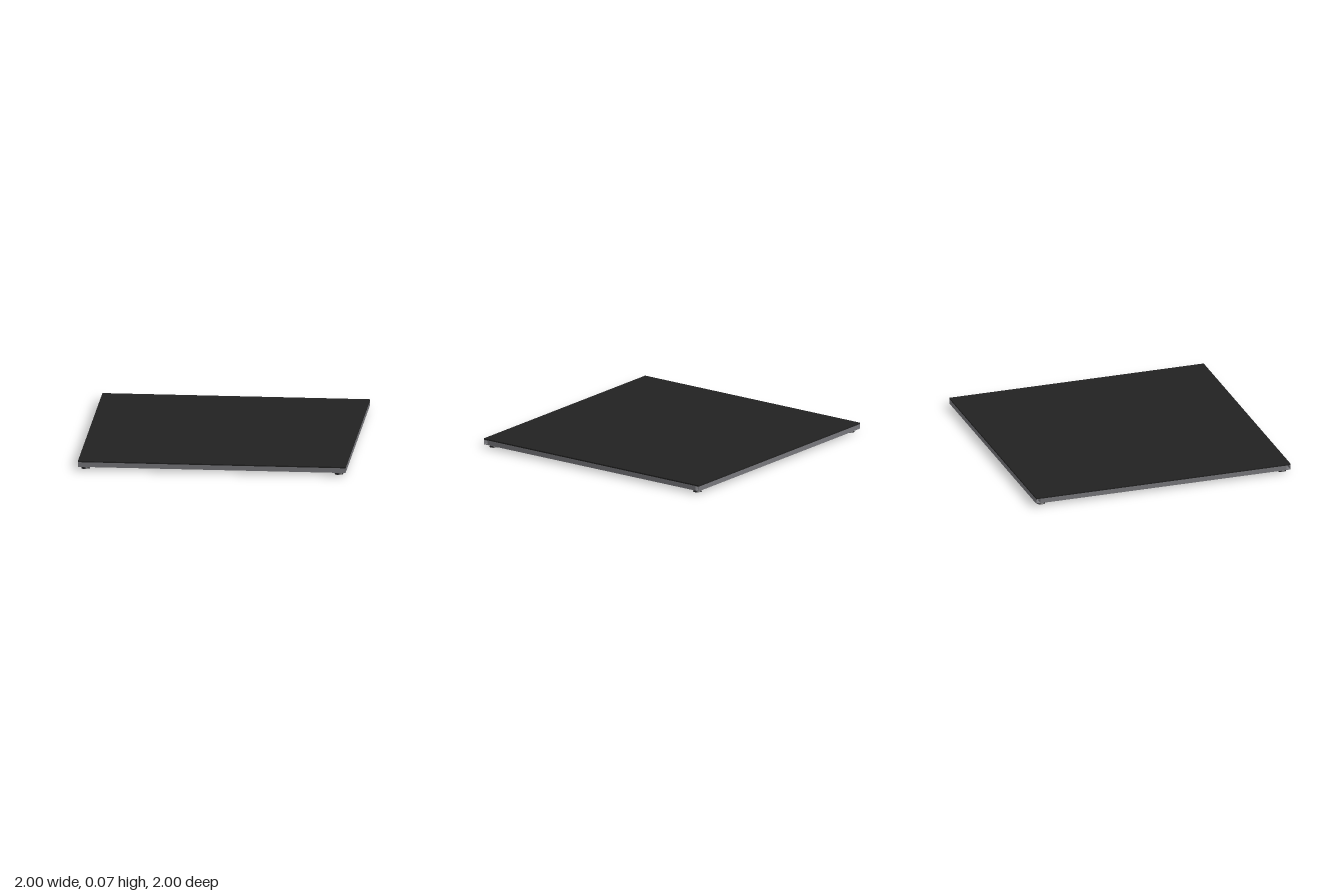
import * as THREE from 'three';

const steel = new THREE.MeshStandardMaterial({ name: 'steelGrey', color: 0x77777b });
const deckBlack = new THREE.MeshStandardMaterial({ name: 'deckBlack', color: 0x222222 });
const rubber = new THREE.MeshStandardMaterial({ name: 'rubberBlack', color: 0x1c1c1e });

const TUBE = 0.036;          // square tube side
const WALL = 0.003;          // tube wall
const TUBE_Y = 0.021 + TUBE / 2;
const INNER = 1 - TUBE;      // inner face of the outer frame
const BAR = 0.8;             // offset of the outer cross bars

// Hollow square tube with open ends, centred on its length
function tube(name, length, axis, x, z) {
  const square = (Type, h) => {
    const p = new Type();
    p.moveTo(-h, -h); p.lineTo(h, -h); p.lineTo(h, h); p.lineTo(-h, h); p.closePath();
    return p;
  };
  const shape = square(THREE.Shape, TUBE / 2);
  shape.holes.push(square(THREE.Path, TUBE / 2 - WALL));
  const geo = new THREE.ExtrudeGeometry(shape, { depth: length, bevelEnabled: false });
  geo.translate(0, 0, -length / 2);
  if (axis === 'x') geo.rotateY(Math.PI / 2);
  const mesh = new THREE.Mesh(geo, steel);
  mesh.name = name;
  mesh.position.set(x, TUBE_Y, z);
  return mesh;
}

// Levelling foot: rubber pad with a steel collar
function foot(x, z) {
  const g = new THREE.Group();
  g.name = 'foot';
  const pad = new THREE.Mesh(new THREE.CylinderGeometry(0.026, 0.033, 0.01, 24), rubber);
  pad.name = 'footPad';
  pad.position.y = 0.005;
  const collar = new THREE.Mesh(new THREE.CylinderGeometry(0.025, 0.02, 0.012, 24), steel);
  collar.name = 'footCollar';
  collar.position.y = 0.016;
  g.add(pad, collar);
  g.position.set(x, 0, z);
  return g;
}

export function createModel() {
  const model = new THREE.Group();
  model.name = 'floorPlatform';

  // Deck plate
  const deck = new THREE.Mesh(new THREE.BoxGeometry(2, 0.01, 2), deckBlack);
  deck.name = 'deck';
  deck.position.y = 0.062;
  model.add(deck);

  // Outer frame, long bars and central bar
  const edge = 1 - TUBE / 2;
  for (const s of [-1, 1]) {
    model.add(tube(s > 0 ? 'frontRail' : 'backRail', 2, 'x', 0, s * edge));
    model.add(tube('sideRail', 2 * INNER, 'z', s * edge, 0));
    model.add(tube('longBar', 2 * INNER, 'z', s * BAR, 0));
  }
  model.add(tube('centreBar', 2 * INNER, 'z', 0, 0));

  // Cross bars between the long bars
  const outerLen = INNER - BAR - TUBE / 2;
  const outerX = (INNER + BAR + TUBE / 2) / 2;
  for (const s of [-1, 1]) {
    model.add(tube('crossBar', BAR - TUBE, 'x', s * BAR / 2, 0));
    for (const z of [-BAR, 0, BAR]) model.add(tube('shortCrossBar', outerLen, 'x', s * outerX, z));
  }

  // Two feet on the diagonal of each corner
  for (const sx of [-1, 1]) for (const sz of [-1, 1])
    for (const d of [0.947, 0.813]) model.add(foot(sx * d, sz * d));

  return model;
}
